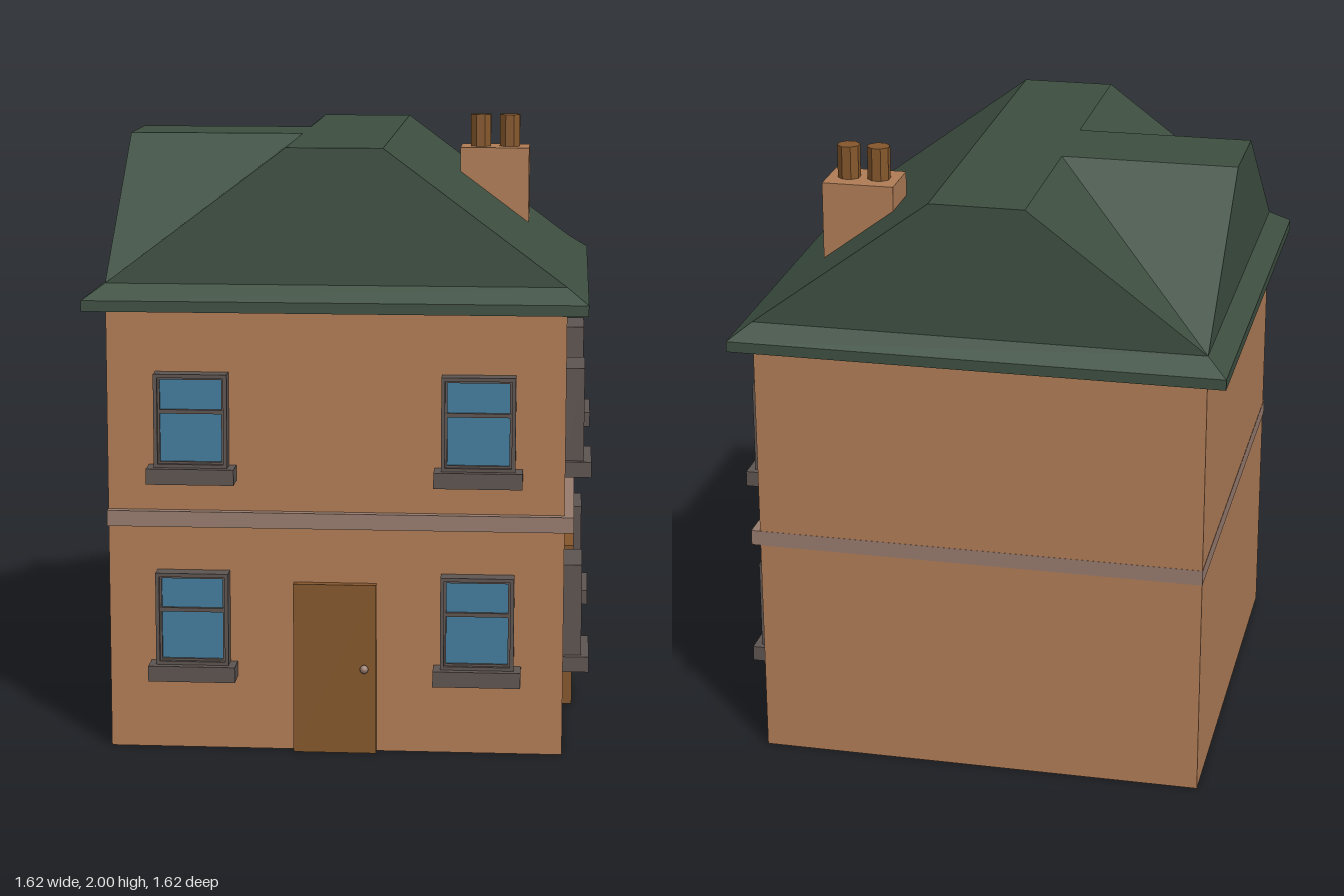
import * as THREE from 'three';

const MID = -0.009;   // centre of the wall block on x and z
const HALF = 0.736;   // half the wall width

const mat = (name, color, extra = {}) =>
  Object.assign(new THREE.MeshStandardMaterial({ color, ...extra }), { name });

function mesh(name, geometry, material, parent, x = 0, y = 0, z = 0) {
  const m = new THREE.Mesh(geometry, material);
  m.name = name;
  m.position.set(x, y, z);
  parent.add(m);
  return m;
}

// Box given by its minimum and maximum on each axis
function block(name, [x0, x1], [y0, y1], [z0, z1], material, parent) {
  return mesh(name, new THREE.BoxGeometry(x1 - x0, y1 - y0, z1 - z0), material, parent,
    (x0 + x1) / 2, (y0 + y1) / 2, (z0 + z1) / 2);
}

// Rectangular ring, extruded forwards
function ringGeometry(w, h, border, depth) {
  const rect = (Type, a, b) => {
    const s = new Type();
    s.moveTo(-a, -b); s.lineTo(a, -b); s.lineTo(a, b); s.lineTo(-a, b); s.closePath();
    return s;
  };
  const shape = rect(THREE.Shape, w / 2, h / 2);
  shape.holes.push(rect(THREE.Path, w / 2 - border, h / 2 - border));
  return new THREE.ExtrudeGeometry(shape, { depth, bevelEnabled: false });
}

function roofGeometry() {
  const pos = [];
  const face = (...p) => {
    for (let i = 1; i < p.length - 1; i++) pos.push(...p[0], ...p[i], ...p[i + 1]);
  };
  const lo = 1.528, hi = 1.963;
  const L = MID - HALF, R = MID + HALF, K = L, F = R; // wall lines: left, right, back, front
  const a = -0.165, b = 0.143;                         // edges of the flat ridges
  const ring = (h, y) => [[-1, 1], [1, 1], [1, -1], [-1, -1]].map(([x, z]) => [MID + x * h, y, MID + z * h]);

  // eaves: fascia, sloping skirt and soffit
  const rings = [ring(0.804, 1.445), ring(0.804, 1.48), ring(HALF, lo)];
  for (let r = 0; r < 2; r++) {
    for (let k = 0; k < 4; k++) {
      const n = (k + 1) % 4;
      face(rings[r][k], rings[r][n], rings[r + 1][n], rings[r + 1][k]);
    }
  }
  face(...[...rings[0]].reverse());

  // gables, long slope and flat ridges
  face([L, lo, F], [R, lo, F], [b, hi, F], [a, hi, F]);
  face([R, lo, F], [R, lo, K], [b, hi, K], [b, hi, F]);
  face([R, lo, K], [L, lo, K], [a, hi, K], [b, hi, K]);
  face([L, lo, K], [L, lo, F], [L, hi, b], [L, hi, a]);
  face([a, hi, F], [b, hi, F], [b, hi, K], [a, hi, K]);
  face([L, hi, b], [a, hi, b], [a, hi, a], [L, hi, a]);

  // two valleys between the main roof and the side arm
  face([L, lo, F], [a, hi, F], [a, hi, b]);
  face([L, lo, F], [a, hi, b], [L, hi, b]);
  face([L, lo, K], [a, hi, a], [a, hi, K]);
  face([L, lo, K], [L, hi, a], [a, hi, a]);

  const g = new THREE.BufferGeometry();
  g.setAttribute('position', new THREE.Float32BufferAttribute(pos, 3));
  g.computeVertexNormals();
  return g;
}

export function createModel() {
  const house = new THREE.Group();
  house.name = 'house';
  const wall = mat('wall clay', 0xb07c56);
  const green = mat('roof green', 0x3d4f41, { flatShading: true });
  const stone = mat('band stone', 0x977b6d);
  const grey = mat('window grey', 0x5d5450);
  const blue = mat('glass blue', 0x437c9c);
  const wood = mat('door brown', 0x85572c, { flatShading: true });

  // body
  const span = [MID - HALF, MID + HALF];
  block('walls', span, [0, 1.45], span, wall, house);
  const band = [MID - HALF - 0.001, 0.757];
  block('stringCourse', band, [0.742, 0.793], band, stone, house);
  mesh('roof', roofGeometry(), green, house);

  // chimney with two pots
  block('chimney', [0.35, 0.588], [1.5, 1.89], [-0.382, -0.206], wall, house);
  for (const x of [0.418, 0.519]) {
    const pot = mesh('chimneyPot', new THREE.CylinderGeometry(0.038, 0.038, 0.14, 8), wood, house, x, 1.93, -0.295);
    pot.rotation.y = Math.PI / 8;
  }

  // window: frame, sash, glass and sill, origin at the sill top on the wall face
  const W = 0.236, H = 0.304;
  const frameGeometry = ringGeometry(W, H, 0.012, 0.059);
  const sashGeometry = ringGeometry(W - 0.024, H - 0.024, 0.007, 0.012);
  function addWindow(parent, x, y) {
    const g = new THREE.Group();
    g.name = 'window';
    g.position.set(x, y, 0);
    mesh('windowFrame', frameGeometry, grey, g, 0, H / 2, 0);
    mesh('windowSash', sashGeometry, grey, g, 0, H / 2, 0.034);
    block('windowBar', [-0.106, 0.106], [0.175, 0.188], [0.03, 0.048], grey, g);
    block('windowGlass', [-0.108, 0.108], [0.01, H - 0.01], [0, 0.036], blue, g);
    block('windowSill', [-0.141, 0.141], [-0.05, 0.001], [0, 0.084], grey, g);
    parent.add(g);
  }

  // the same facade on the front and on the +x side
  ['frontFacade', 'sideFacade'].forEach((name, i) => {
    const turn = new THREE.Group();
    turn.name = name;
    turn.position.set(MID, 0, MID);
    turn.rotation.y = i * Math.PI / 2;
    const facade = new THREE.Group();
    facade.name = name + 'Parts';
    facade.position.z = HALF;
    turn.add(facade);
    for (const x of [-0.46, 0.46]) for (const y of [0.291, 0.941]) addWindow(facade, x, y);
    block('door', [-0.134, 0.134], [0, 0.56], [-0.01, 0.031], wood, facade);
    mesh('doorKnob', new THREE.SphereGeometry(0.014, 12, 8), stone, facade, 0.096, 0.283, 0.039);
    house.add(turn);
  });

  return house;
}
